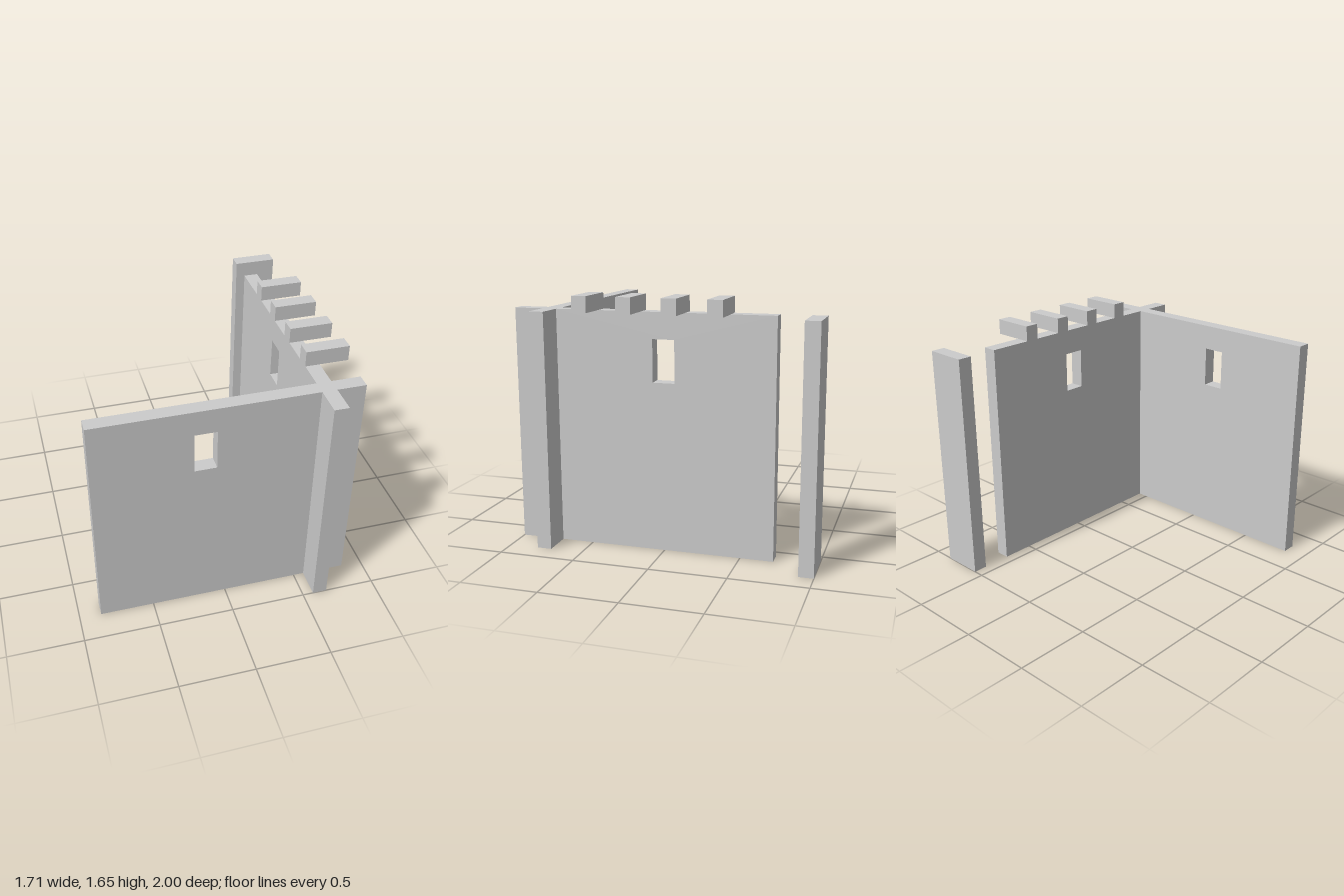
import * as THREE from 'three';

const U = 2 / 21;          // wall thickness, the module of the whole layout
const H = 1.543;           // wall height
const BEAM_H = 0.103;

const material = new THREE.MeshStandardMaterial({ color: 0xcccccc, flatShading: true });

// Upright panel from u0 to u1 with one window opening, extruded by the wall thickness
function windowWall(name, u0, u1, windowCentre) {
  const shape = new THREE.Shape([[u0, 0], [u1, 0], [u1, H], [u0, H]].map(p => new THREE.Vector2(...p)));
  const w = 0.75 * U, y0 = 1.1, y1 = 1.374, c = windowCentre;
  shape.holes.push(new THREE.Path(
    [[c - w, y0], [c - w, y1], [c + w, y1], [c + w, y0]].map(p => new THREE.Vector2(...p))));
  const mesh = new THREE.Mesh(
    new THREE.ExtrudeGeometry(shape, { depth: U, bevelEnabled: false }), material);
  mesh.name = name;
  return mesh;
}

// Box given by its minimum and maximum corners
function block(name, [x0, y0, z0], [x1, y1, z1]) {
  const mesh = new THREE.Mesh(new THREE.BoxGeometry(x1 - x0, y1 - y0, z1 - z0), material);
  mesh.position.set((x0 + x1) / 2, (y0 + y1) / 2, (z0 + z1) / 2);
  mesh.name = name;
  return mesh;
}

export function createModel() {
  const group = new THREE.Group();
  group.name = 'cornerWalls';

  // Front wall, running past the corner on the left
  const frontWall = windowWall('frontWall', -9 * U, 9 * U, -1.5 * U);
  frontWall.position.z = 7.5 * U;
  group.add(frontWall);

  // Side wall behind the front wall, with its short end projecting forward
  const sideWall = windowWall('sideWall', -7.5 * U, 7.5 * U, 0);
  sideWall.rotation.y = -Math.PI / 2;
  sideWall.position.x = 7 * U;
  group.add(sideWall);
  group.add(block('sideWallEnd', [6 * U, 0, 8.5 * U], [7 * U, H, 10.5 * U]));

  // Free-standing pier beyond the doorway gap
  group.add(block('rearPier', [6 * U, 0, -10.5 * U], [9 * U, H, -9.5 * U]));

  // Beams resting on the side wall and overhanging outward
  for (let i = 0; i < 4; i++) {
    const z = (-4.5 + 3 * i) * U;
    group.add(block('roofBeam' + (i + 1), [6 * U, H, z], [9 * U, H + BEAM_H, z + U]));
  }
  return group;
}
